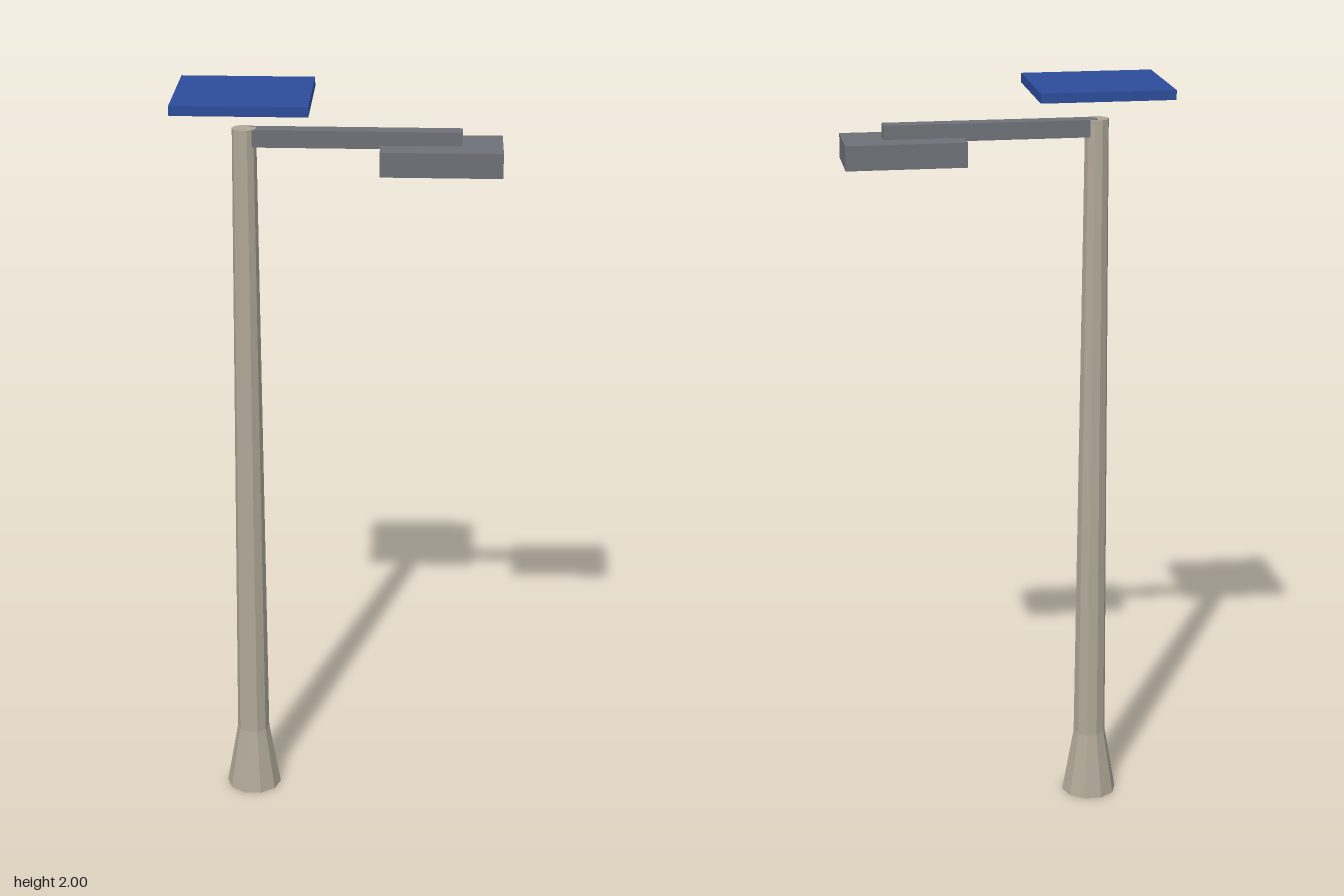
import * as THREE from 'three';

const flat = (name, color) => {
  const m = new THREE.MeshStandardMaterial({ color, flatShading: true });
  m.name = name;
  return m;
};

export function createModel() {
  const stone = flat('warmGrey', 0xb0a898);
  const metal = flat('darkGrey', 0x6e7178);
  const blue = flat('panelBlue', 0x2d4d9a);
  const glow = flat('lampYellow', 0xd9b024);

  const group = new THREE.Group();
  const poleX = -0.243;

  const add = (name, geometry, material, x, y, z = 0) => {
    const mesh = new THREE.Mesh(geometry, material);
    mesh.name = name;
    mesh.position.set(x, y, z);
    group.add(mesh);
    return mesh;
  };

  // Ten-sided tapered pole with a flared foot, closed at both ends
  const profile = [[0, 0], [0.075, 0], [0.044, 0.18], [0.031, 1.905], [0, 1.905]]
    .map(([r, y]) => new THREE.Vector2(r, y));
  add('pole', new THREE.LatheGeometry(profile, 10, Math.PI / 2), stone, poleX, 0);

  // Horizontal arm reaching out from the pole top
  add('arm', new THREE.BoxGeometry(0.553, 0.045, 0.043), metal, 0.0335, 1.8825);

  // Lamp head with a luminous underside (box face order: +x -x +y -y +z -z)
  add('lampHead', new THREE.BoxGeometry(0.31, 0.064, 0.173),
    [metal, metal, metal, glow, metal, metal], 0.258, 1.837);

  // Flat solar panel above the pole
  add('solarPanel', new THREE.BoxGeometry(0.345, 0.025, 0.31), blue, poleX, 1.9875);

  return group;
}
